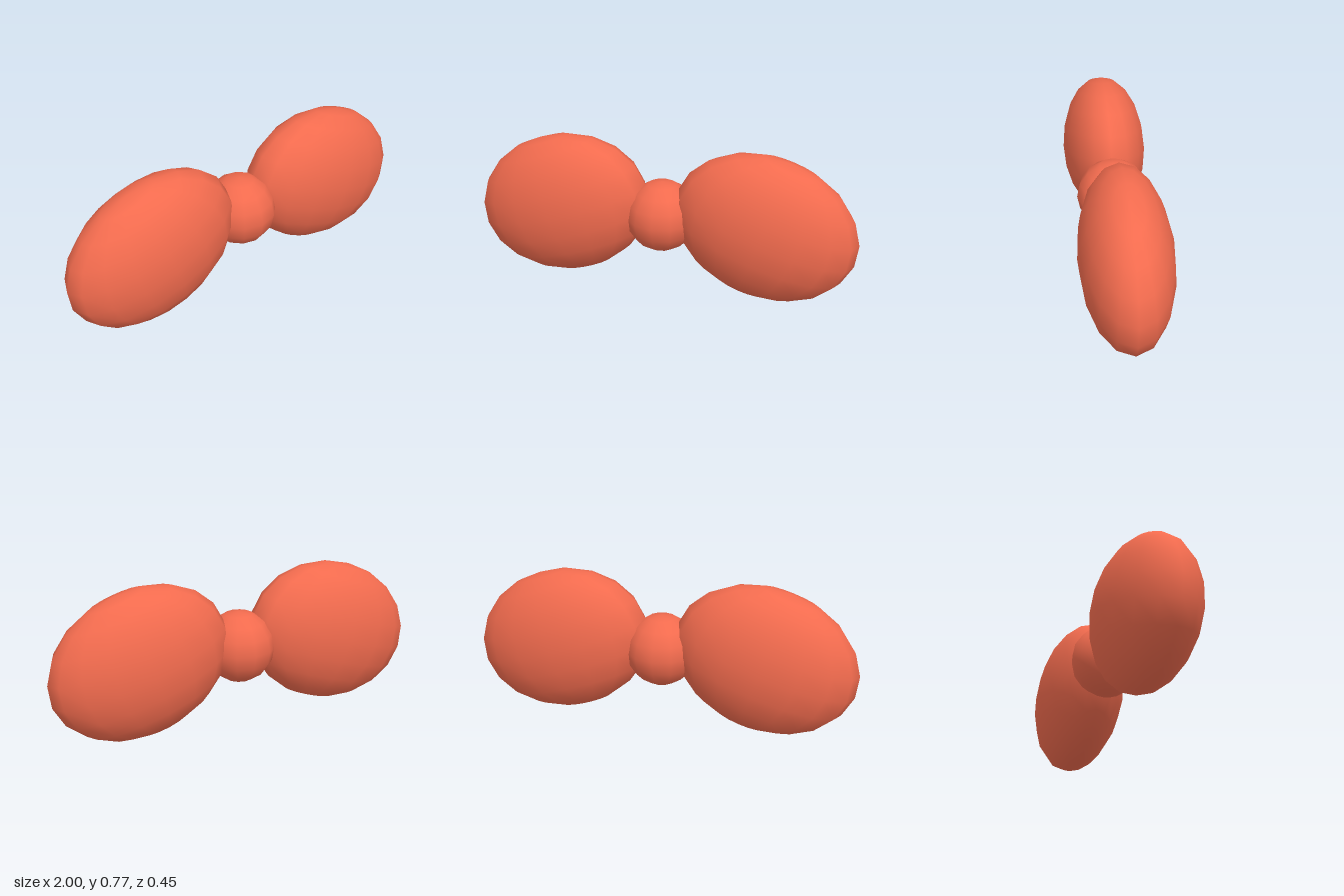
import * as THREE from 'three';

export function createModel() {
  const group = new THREE.Group();
  group.name = 'bowTie';
  const material = new THREE.MeshStandardMaterial({ color: 0xf26b4e });
  const midY = 0.387;

  // Flattened loops, tilted down towards their outer ends
  const loopGeometry = new THREE.SphereGeometry(1, 16, 10);
  for (const side of [1, -1]) {
    const loop = new THREE.Mesh(loopGeometry, material);
    loop.name = side > 0 ? 'leftLoop' : 'rightLoop';
    loop.scale.set(0.475, 0.376, 0.225);
    loop.position.set(side * 0.535, midY, 0);
    loop.rotation.z = -side * 0.32;
    group.add(loop);
  }

  // Round centre knot
  const knot = new THREE.Mesh(new THREE.SphereGeometry(0.187, 12, 8), material);
  knot.name = 'knot';
  knot.position.y = midY;
  group.add(knot);

  return group;
}
